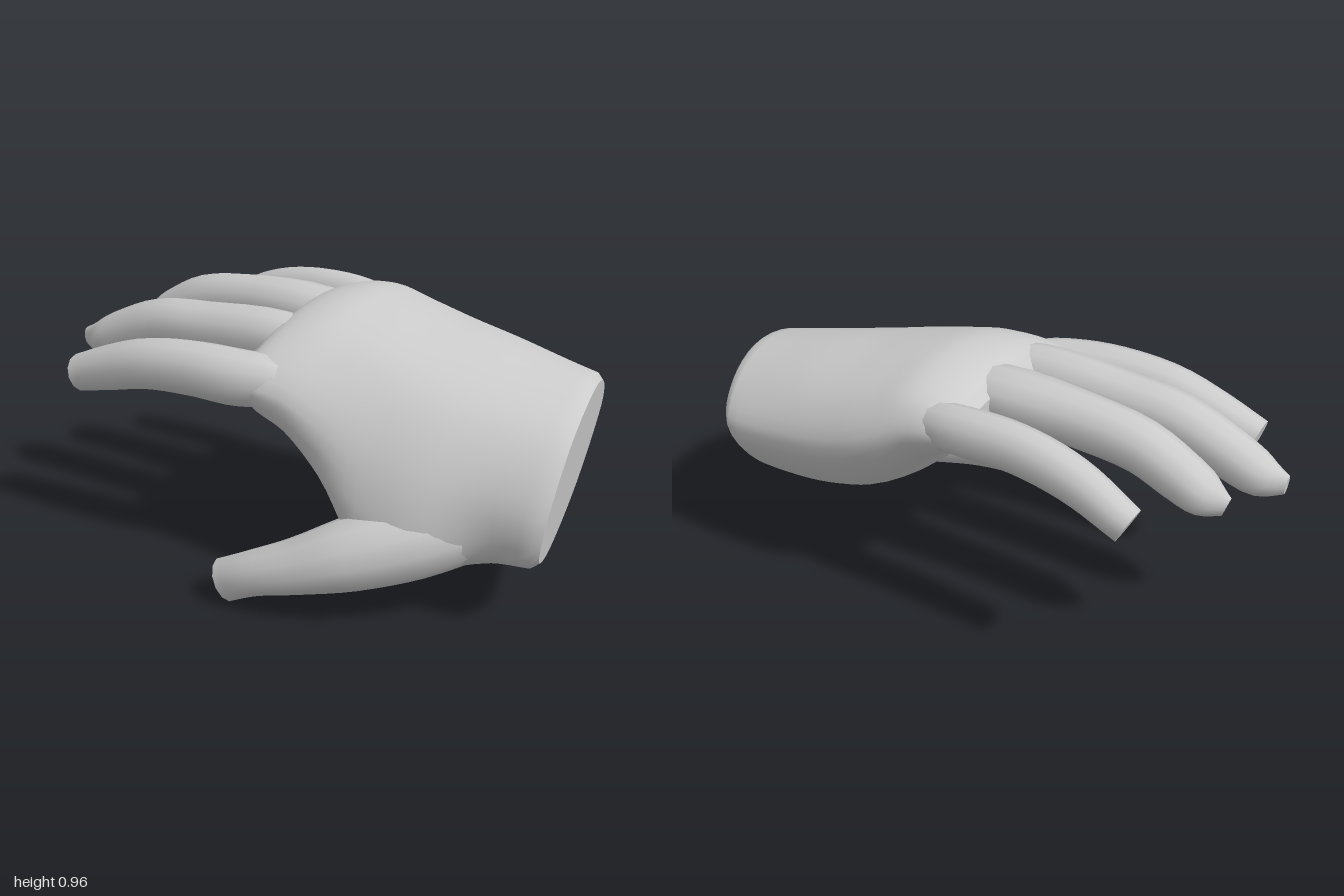
import * as THREE from 'three';

const material = new THREE.MeshStandardMaterial({ color: 0xcccccc });
const V = (x, y, z) => new THREE.Vector3(x, y, z);
const centroid = ring => ring.reduce((s, p) => s.add(p), V(0, 0, 0)).divideScalar(ring.length);

// Skin a list of rings (counter-clockwise about the direction of travel), with creased end caps.
function loft(name, rings) {
  const n = rings[0].length, positions = [], index = [];
  const put = p => positions.push(p.x, p.y, p.z) / 3 - 1;
  rings.forEach(ring => ring.forEach(put));
  for (let i = 0; i < rings.length - 1; i++) {
    for (let j = 0; j < n; j++) {
      const a = i * n + j, b = i * n + (j + 1) % n;
      index.push(a, b, a + n, b, b + n, a + n);
    }
  }
  for (const [ring, atEnd] of [[rings[0], false], [rings[rings.length - 1], true]]) {
    const c = put(centroid(ring)), first = c + 1;
    ring.forEach(put);
    for (let j = 0; j < n; j++) {
      const a = first + j, b = first + (j + 1) % n;
      index.push(c, ...(atEnd ? [a, b] : [b, a]));
    }
  }
  const geometry = new THREE.BufferGeometry();
  geometry.setAttribute('position', new THREE.Float32BufferAttribute(positions, 3));
  geometry.setIndex(index);
  geometry.computeVertexNormals();
  const mesh = new THREE.Mesh(geometry, material);
  mesh.name = name;
  return mesh;
}

// A digit: stations of [x, y, z, half thickness, half width] from root to tip.
function digit(name, stations, sides = 12, steps = 20) {
  const path = new THREE.CatmullRomCurve3(stations.map(s => V(s[0], s[1], s[2])));
  const size = new THREE.CatmullRomCurve3(stations.map(s => V(s[3], s[4], s[0])));
  const rings = [];
  for (let i = 0; i <= steps; i++) {
    const c = path.getPoint(i / steps), r = size.getPoint(i / steps);
    const t = path.getTangent(i / steps);
    const side = t.clone().cross(V(0, 1, 0)).normalize();
    const up = t.clone().cross(side);
    rings.push(Array.from({ length: sides }, (_, j) => {
      const a = j / sides * Math.PI * 2;
      return c.clone().addScaledVector(side, Math.cos(a) * r.y).addScaledVector(up, Math.sin(a) * r.x);
    }));
  }
  return loft(name, rings);
}

// Palm and wrist: eight [z, y] corners per section, from little-finger edge over the back.
function palm() {
  const sections = [
    [-0.1, [[-.45, .815], [-.41, .85], [-.15, .88], [.13, .82], [.28, .76], [.23, .71], [-.1, .75], [-.4, .77]]],
    [-0.04, [[-.495, .81], [-.44, .885], [-.15, .935], [.17, .865], [.345, .74], [.28, .64], [-.1, .675], [-.42, .725]]],
    [0.1, [[-.52, .78], [-.46, .9], [-.2, .965], [.12, .905], [.335, .72], [.28, .57], [-.05, .585], [-.42, .65]]],
    [0.25, [[-.55, .71], [-.47, .86], [-.2, .94], [.12, .87], [.325, .65], [.3, .45], [0, .45], [-.4, .52]]],
    [0.42, [[-.56, .65], [-.47, .82], [-.2, .9], [.12, .82], [.32, .56], [.34, .27], [.08, .25], [-.38, .41]]],
    [0.6, [[-.563, .62], [-.46, .79], [-.2, .865], [.12, .76], [.3, .5], [.31, .235], [.03, .195], [-.38, .36]]],
    [0.8, [[-.56, .6], [-.45, .75], [-.22, .82], [.08, .72], [.22, .49], [.18, .27], [-.03, .2], [-.38, .34]]],
    [null, [[-.55, .6], [-.45, .73], [-.24, .79], [.04, .69], [.18, .46], [.15, .28], [-.04, .213], [-.38, .34]]],
  ];
  // The wrist is cut by a slanted plane.
  const corner = (x, [z, y]) => V(x ?? 0.88 + 0.2 * z + 0.14 * y, y, z);
  const rails = Array.from({ length: 8 }, (_, k) =>
    new THREE.CatmullRomCurve3(sections.map(([x, pts]) => corner(x, pts[k]))));
  const steps = 28, sides = 40, rings = [];
  for (let i = 0; i <= steps; i++) {
    const outline = new THREE.CatmullRomCurve3(rails.map(r => r.getPoint(i / steps)), true);
    rings.push(Array.from({ length: sides }, (_, j) => outline.getPoint(j / sides)));
  }
  // Softened rim of the cut.
  const rim = rings[steps], middle = centroid(rim);
  rings.push(rim.map(p => p.clone().lerp(middle, 0.07).add(V(0.026, 0, 0))));
  return loft('palmAndWrist', rings);
}

export function createModel() {
  const hand = new THREE.Group();
  hand.name = 'hand';
  hand.add(
    palm(),
    digit('indexFinger', [
      [.18, .7, .18, .06, .07], [.02, .735, .252, .09, .085], [-.1, .737, .292, .1, .093],
      [-.25, .742, .318, .098, .09], [-.45, .725, .337, .093, .087], [-.62, .677, .347, .085, .08],
      [-.78, .625, .355, .07, .068]]),
    digit('middleFinger', [
      [.16, .8, .04, .07, .08], [-.1, .815, .063, .098, .096], [-.4, .795, .078, .097, .094],
      [-.6, .775, .085, .094, .09], [-.78, .71, .09, .087, .085], [-.9, .66, .095, .074, .073],
      [-.99, .65, .1, .036, .02]]),
    digit('ringFinger', [
      [.16, .82, -.18, .07, .08], [-.1, .845, -.185, .095, .11], [-.4, .835, -.18, .095, .092],
      [-.6, .805, -.172, .091, .087], [-.74, .74, -.168, .085, .083], [-.82, .7, -.165, .073, .073],
      [-.893, .675, -.155, .036, .02]]),
    digit('littleFinger', [
      [.14, .8, -.41, .06, .06], [-.06, .828, -.438, .083, .073], [-.3, .83, -.432, .085, .071],
      [-.5, .782, -.425, .08, .067], [-.69, .683, -.42, .066, .058]]),
    digit('thumb', [
      [.76, .36, .06, .12, .12], [.57, .3, .225, .14, .135], [.4, .243, .36, .125, .118],
      [.24, .182, .434, .096, .1], [.1, .13, .475, .08, .082], [-.015, .072, .49, .08, .068]])
  );
  return hand;
}
